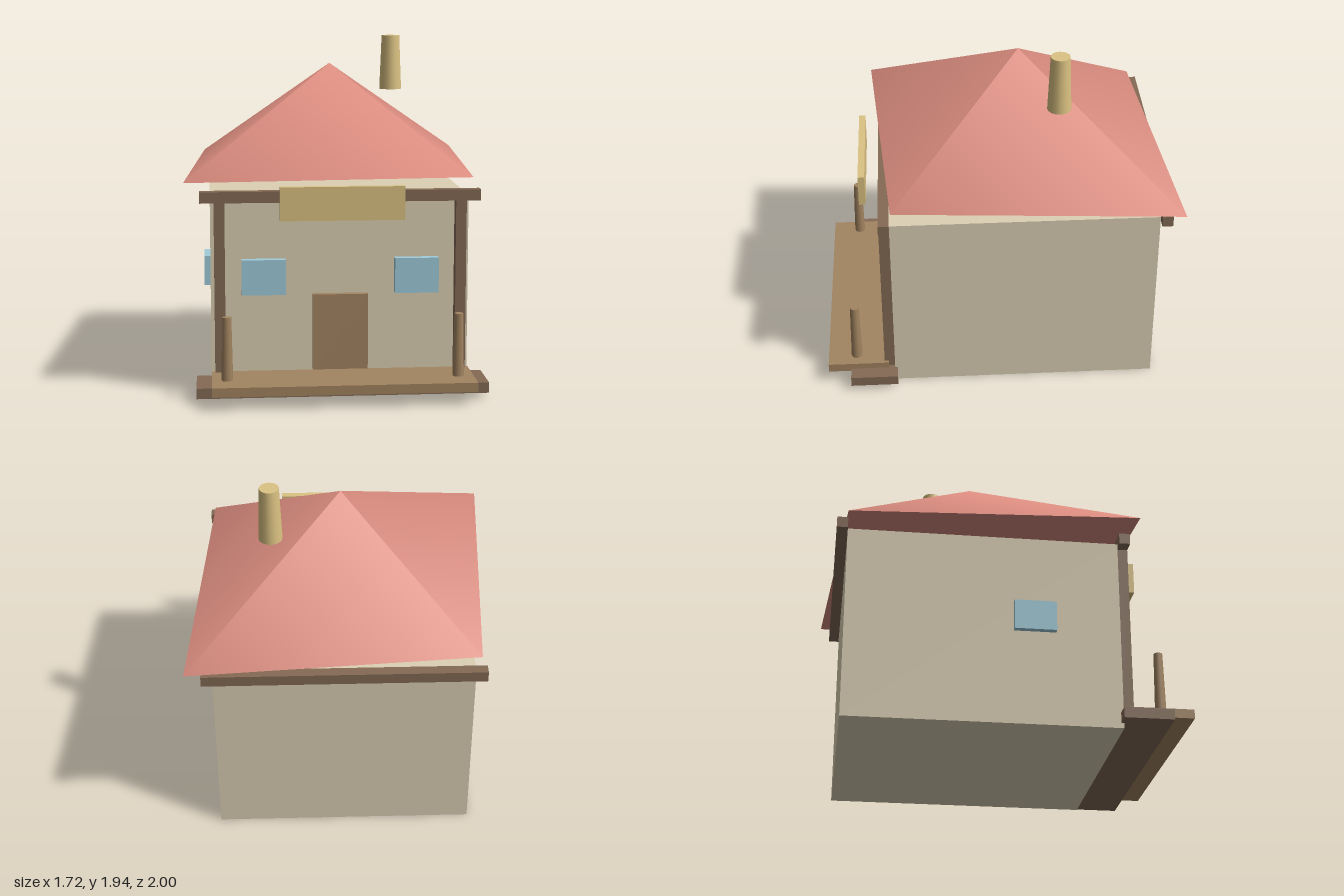
import * as THREE from 'three';

const mat = (color) => new THREE.MeshStandardMaterial({ color });
const MAT = {
  wall: mat(0xddd1b5),
  roof: mat(0xd98b7e),
  timber: mat(0x846a55),
  plank: mat(0xa38561),
  yellow: mat(0xdcc383),
  glass: mat(0xa0cddc),
};

export function createModel() {
  const group = new THREE.Group();

  const add = (name, geometry, material, x, y, z) => {
    const mesh = new THREE.Mesh(geometry, material);
    mesh.name = name;
    mesh.position.set(x, y, z);
    group.add(mesh);
    return mesh;
  };

  // Box given by its extents along each axis
  const box = (name, material, [x0, x1], [y0, y1], [z0, z1]) =>
    add(name, new THREE.BoxGeometry(x1 - x0, y1 - y0, z1 - z0), material,
      (x0 + x1) / 2, (y0 + y1) / 2, (z0 + z1) / 2);

  // Upright tapered cylinder
  const taper = (name, material, rTop, rBottom, sides, x, y0, y1, z) =>
    add(name, new THREE.CylinderGeometry(rTop, rBottom, y1 - y0, sides), material, x, (y0 + y1) / 2, z);

  // House body
  box('walls', MAT.wall, [-0.717, 0.717], [0, 1.093], [-0.885, 0.615]);

  // Four-sided roof, stretched along one diagonal
  const roof = add('roof', new THREE.ConeGeometry(1, 0.595, 4), MAT.roof, 0, 1.4875, -0.14);
  roof.rotation.y = Math.PI / 4;
  roof.scale.set(1.216, 1, 1.054);

  taper('chimney', MAT.yellow, 0.054, 0.067, 16, 0.39, 1.615, 1.94, -0.34);

  // Beams under the eaves
  box('frontBeam', MAT.timber, [-0.775, 0.775], [1.07, 1.132], [0.615, 0.675]);
  box('backBeam', MAT.timber, [-0.775, 0.775], [1.07, 1.132], [-0.945, -0.885]);

  // Porch step and deck
  box('porchSill', MAT.timber, [-0.8, 0.8], [0.03, 0.088], [0.6, 0.87]);
  box('porchDeck', MAT.plank, [-0.717, 0.717], [0.073, 0.124], [0.65, 1.0]);

  // Door and hanging board
  box('door', MAT.plank, [-0.153, 0.153], [0.12, 0.55], [0.61, 0.652]);
  box('signBoard', MAT.yellow, [-0.34, 0.34], [0.985, 1.17], [0.75, 0.788]);

  // Parts mirrored left and right
  for (const [side, s] of [['left', 1], ['right', -1]]) {
    const span = (a, b) => (s > 0 ? [a, b] : [-b, -a]);
    box(side + 'Post', MAT.timber, span(0.638, 0.697), [0.08, 1.08], [0.615, 0.675]);
    box(side + 'FrontWindow', MAT.glass, span(0.303, 0.547), [0.553, 0.75], [0.61, 0.663]);
    taper(side + 'Bollard', MAT.plank, 0.025, 0.032, 8, s * 0.633, 0.12, 0.473, 0.836);
  }

  // Window in the right wall
  box('sideWindow', MAT.glass, [-0.752, -0.715], [0.533, 0.702], [0.03, 0.26]);

  return group;
}
